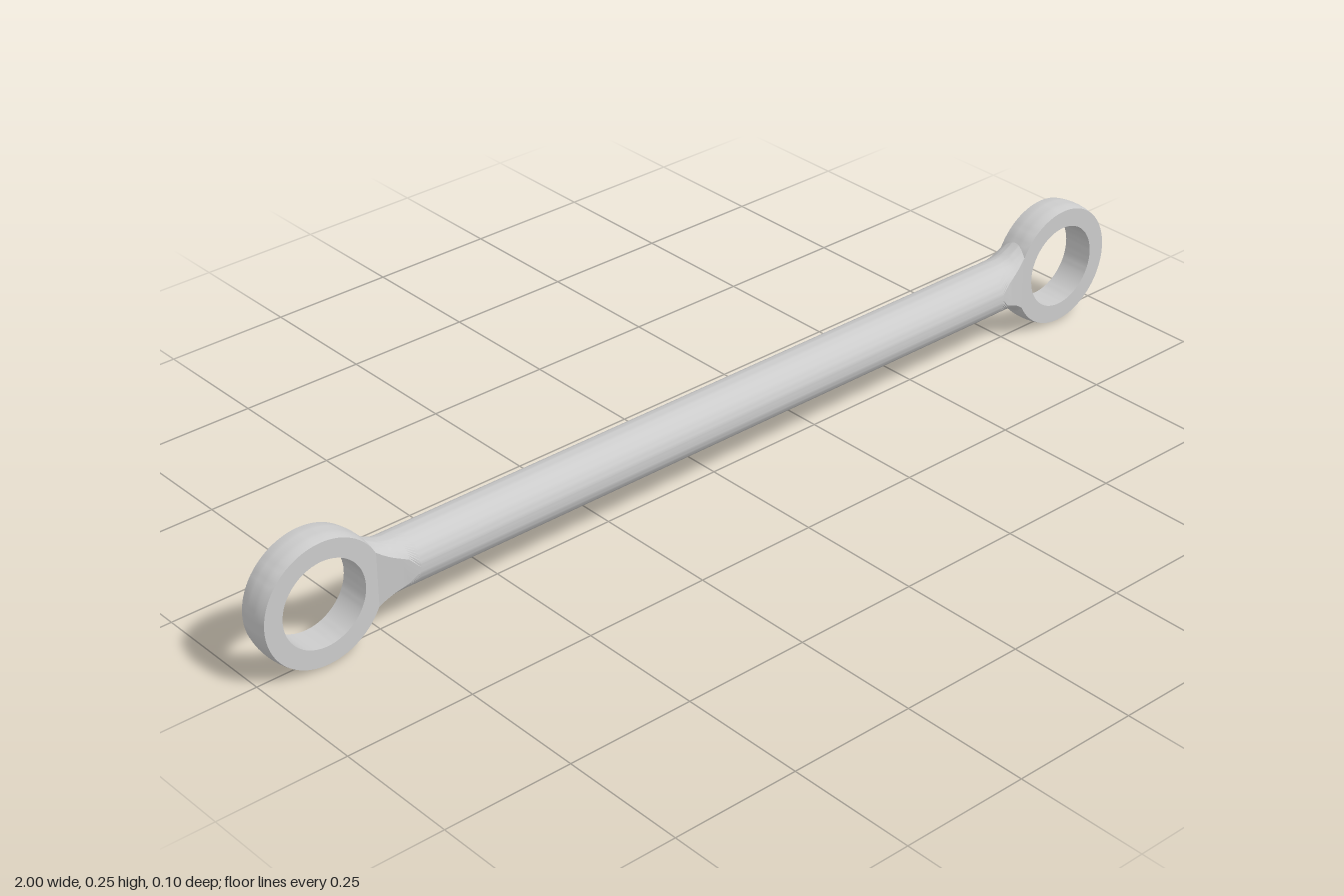
import * as THREE from 'three';
import { toCreasedNormals } from 'three/addons/utils/BufferGeometryUtils.js';

const ROD_R = 0.051, EYE_R = 0.123, HOLE_R = 0.083, HALF_T = 0.031;
const EYE_X = 1 - EYE_R, MID_Y = EYE_R;

const material = new THREE.MeshStandardMaterial({ color: 0xcccccc });

// Half thickness in z: full round, then planed down to the eye thickness
function halfDepth(x) {
  const t = THREE.MathUtils.clamp((Math.abs(x) - 0.695) / 0.075, 0, 1);
  return THREE.MathUtils.lerp(ROD_R * 0.9995, HALF_T, t);
}

// Half height in y: flares where the neck meets the eye
function halfHeight(x) {
  const t = Math.max(0, (Math.abs(x) - 0.73) / 0.058);
  return ROD_R + 0.03 * Math.pow(t, 1.7);
}

// Round section with two flats, lofted along x
function rodGeometry() {
  const side = [0.695, 0.715, 0.73, 0.74, 0.75, 0.76, 0.77, 0.78, 0.788];
  const xs = [...side.map(x => -x).reverse(), ...side];
  const arc = 26, ring = 2 * (arc + 1);
  const pos = [], index = [];
  for (const x of xs) {
    const a0 = Math.acos(halfDepth(x) / ROD_R);
    for (let half = 0; half < 2; half++) {
      for (let i = 0; i <= arc; i++) {
        const a = half * Math.PI + a0 + (Math.PI - 2 * a0) * i / arc;
        pos.push(x, halfHeight(x) * Math.sin(a), ROD_R * Math.cos(a));
      }
    }
  }
  for (let s = 0; s < xs.length - 1; s++) {
    for (let i = 0; i < ring; i++) {
      const j = (i + 1) % ring;
      const a = s * ring + i, b = s * ring + j, c = a + ring, d = b + ring;
      index.push(a, b, c, b, d, c);
    }
  }
  const g = new THREE.BufferGeometry();
  g.setAttribute('position', new THREE.Float32BufferAttribute(pos, 3));
  g.setIndex(index);
  // Make sure the faces point outward
  const p = i => new THREE.Vector3().fromBufferAttribute(g.attributes.position, i);
  const n = p(index[1]).sub(p(index[0])).cross(p(index[2]).sub(p(index[0])));
  const m = p(index[0]);
  if (n.y * m.y + n.z * m.z < 0) g.setIndex(index.reverse());
  return toCreasedNormals(g, 0.25);
}

// Ring with a slightly crowned rim
function eyeGeometry() {
  const profile = [new THREE.Vector2(HOLE_R, -HALF_T)];
  for (let i = 0; i <= 8; i++) {
    const t = -1 + i / 4;
    profile.push(new THREE.Vector2(EYE_R - 0.004 * t * t, HALF_T * t));
  }
  profile.push(new THREE.Vector2(HOLE_R, HALF_T), new THREE.Vector2(HOLE_R, -HALF_T));
  const g = new THREE.LatheGeometry(profile, 80);
  g.rotateX(Math.PI / 2);
  return toCreasedNormals(g, 0.5);
}

export function createModel() {
  const model = new THREE.Group();
  model.name = 'linkRod';

  const rod = new THREE.Mesh(rodGeometry(), material);
  rod.name = 'rod';
  rod.position.y = MID_Y;
  model.add(rod);

  const eye = eyeGeometry();
  for (const [name, sx] of [['leftEye', 1], ['rightEye', -1]]) {
    const mesh = new THREE.Mesh(eye, material);
    mesh.name = name;
    mesh.position.set(sx * EYE_X, MID_Y, 0);
    model.add(mesh);
  }
  return model;
}
